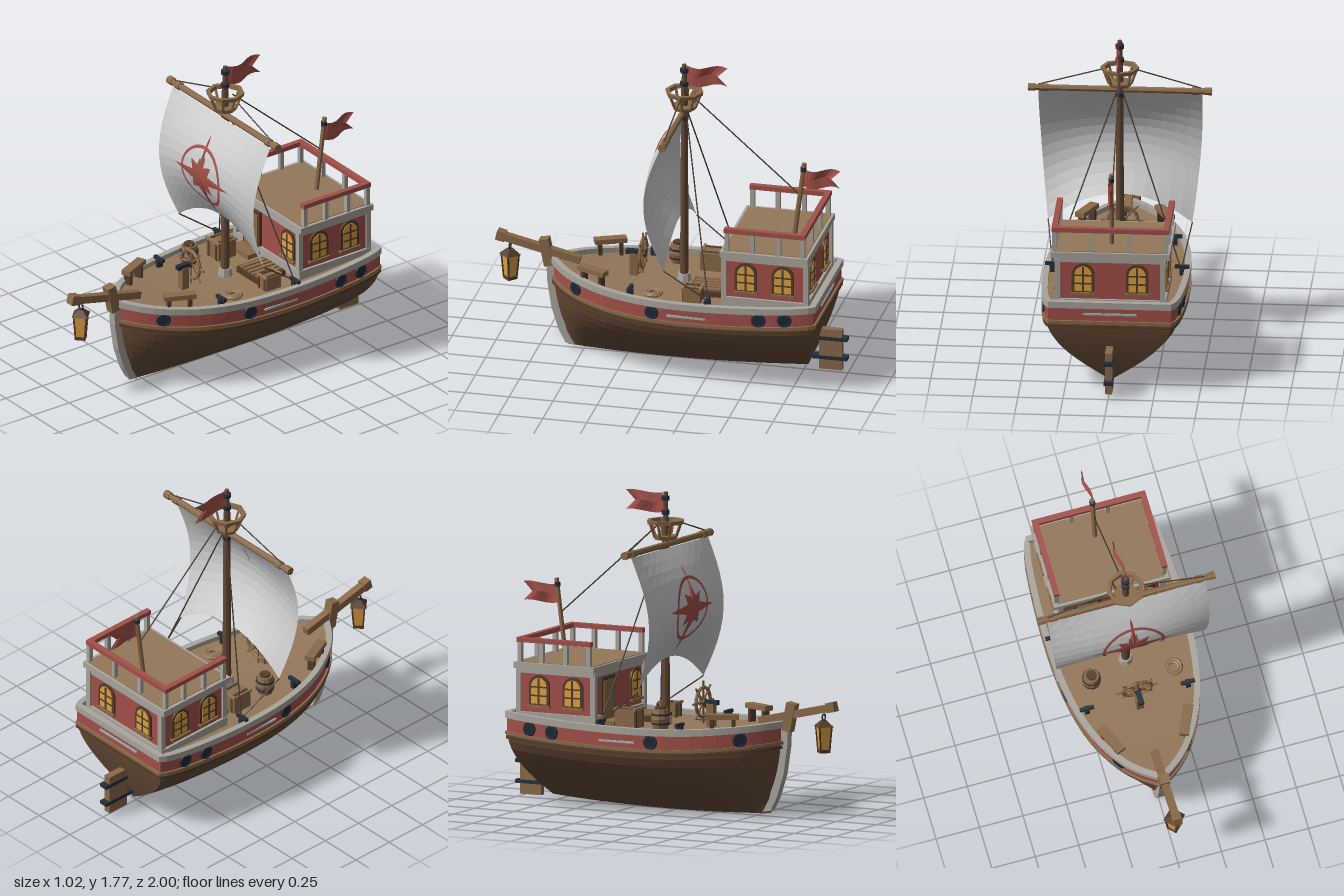
import * as THREE from 'three';

const RED = 0xa3504a, WOOD = 0x8a6a4a, DECK = 0x93775a, HULL = 0x654a35, DARKWOOD = 0x553d2a,
  GREY = 0xaaa69e, IRON = 0x262e3a, GLOW = 0xdfa243, SAIL = 0xcfcfcf, ROPE = 0x4a4038, PALE = 0x9db5b5;

const mat = (color, double) => new THREE.MeshStandardMaterial({
  color, flatShading: true, side: double ? THREE.DoubleSide : THREE.FrontSide });

function add(parent, name, geo, color, pos = [0, 0, 0], rot = [0, 0, 0], double = false) {
  const m = new THREE.Mesh(geo, mat(color, double));
  m.name = name;
  m.position.set(...pos);
  m.rotation.set(...rot);
  parent.add(m);
  return m;
}
const box = (p, name, color, size, pos, rot) => add(p, name, new THREE.BoxGeometry(...size), color, pos, rot);
const cyl = (p, name, color, r1, r2, h, n, pos, rot) => add(p, name, new THREE.CylinderGeometry(r1, r2, h, n), color, pos, rot);

// Round bar from a to b
function rod(p, name, color, a, b, r, n = 5) {
  const A = new THREE.Vector3(...a), d = new THREE.Vector3(...b).sub(A);
  const m = cyl(p, name, color, r, r, d.length(), n, A.clone().addScaledVector(d, 0.5).toArray());
  m.quaternion.setFromUnitVectors(new THREE.Vector3(0, 1, 0), d.normalize());
  return m;
}

// Skin over a row of equal-length cross-sections
function loft(rings) {
  const n = rings[0].length, idx = [];
  for (let i = 0; i < rings.length - 1; i++) for (let j = 0; j < n - 1; j++) {
    const a = i * n + j, b = a + n;
    idx.push(a, b, a + 1, a + 1, b, b + 1);
  }
  const g = new THREE.BufferGeometry();
  g.setAttribute('position', new THREE.Float32BufferAttribute(rings.flat(2), 3));
  g.setIndex(idx);
  g.computeVertexNormals();
  return g;
}

// Deck plan, stern to bow: x holds z, y holds half width
const plan = new THREE.SplineCurve([[-0.88, 0.34], [-0.75, 0.37], [-0.45, 0.39], [-0.15, 0.388], [0.1, 0.36],
  [0.32, 0.298], [0.5, 0.2], [0.6, 0.11], [0.67, 0.015]].map(p => new THREE.Vector2(...p))).getPoints(24);
const sheer = z => 0.455 + (z > 0 ? 0.1 : 0.045) * z * z;
const halfWidth = z => {
  const i = Math.max(1, plan.findIndex(p => p.x >= z)), a = plan[i - 1], b = plan[i];
  return a.y + (b.y - a.y) * (z - a.x) / (b.x - a.x);
};

// Strip with a rectangular section running round the hull
function band(p, name, color, out, inn, y0, y1) {
  const path = [...plan].reverse().map(q => [q.y, q.x]).concat(plan.map(q => [-q.y, q.x]));
  const rings = path.map(([x, z], i) => {
    const a = path[Math.max(0, i - 1)], b = path[Math.min(path.length - 1, i + 1)];
    const l = Math.hypot(b[0] - a[0], b[1] - a[1]), nx = -(b[1] - a[1]) / l, nz = (b[0] - a[0]) / l;
    const at = (o, y) => [x + nx * o, sheer(z) + y, z + nz * o];
    return [at(out, y0), at(out, y1), at(inn, y1), at(inn, y0), at(out, y0)];
  });
  add(p, name, loft(rings), color, undefined, undefined, true);
}

// Extruded outline drawn in (z, y), centred on x = 0
function sideShape(pts, depth) {
  const s = new THREE.Shape(pts.map(q => new THREE.Vector2(...q)));
  return new THREE.ExtrudeGeometry(s, { depth, bevelEnabled: false }).translate(0, 0, -depth / 2).rotateY(-Math.PI / 2);
}

function buildHull(g) {
  const rows = 8;
  const rings = plan.map(({ x: z, y: w }) => Array.from({ length: rows * 2 + 1 }, (_, j) => {
    const s = (rows - j) / rows, v = Math.abs(s), keel = 0.04 * z * z;
    return [Math.sign(s) * w * Math.sin(v * Math.PI / 2), keel + (sheer(z) - 0.08 - keel) * v,
      z * (1 - 0.12 * (1 - v) ** 1.5)];
  }));
  add(g, 'hull', loft(rings), HULL, undefined, undefined, true);
  const edge = rings[0];
  add(g, 'transom', loft(edge.slice(0, rows + 1).map((q, j) => [q, edge[rows * 2 - j]])), HULL, undefined, undefined, true);
  add(g, 'deck', loft(plan.map(q => [[-q.y, sheer(q.x) + 0.015, q.x], [q.y, sheer(q.x) + 0.015, q.x]])), DECK, undefined, undefined, true);
  band(g, 'redBand', RED, 0.002, -0.01, -0.08, 0.01);
  band(g, 'rail', GREY, 0.014, -0.02, 0.005, 0.042);
  band(g, 'upperWale', WOOD, 0.014, -0.01, -0.088, -0.07);
  band(g, 'lowerWale', DARKWOOD, 0.01, -0.02, -0.112, -0.095);

  add(g, 'stem', sideShape([[0.55, 0.025], [0.6, 0.035], [0.638, 0.11], [0.68, 0.24], [0.704, 0.4], [0.708, 0.5],
    [0.655, 0.5], [0.65, 0.4], [0.63, 0.25], [0.59, 0.1]], 0.05), GREY);
  box(g, 'stemHead', WOOD, [0.055, 0.16, 0.055], [0, 0.565, 0.71], [0.2, 0, 0]);
  box(g, 'rudder', WOOD, [0.04, 0.24, 0.13], [0, 0.14, -0.905]);
  for (const y of [0.09, 0.205]) box(g, 'rudderStrap', IRON, [0.05, 0.02, 0.2], [0, y, -0.9]);

  // Portholes, streaks and cleats on both sides
  for (const s of [1, -1]) {
    for (const z of [0.5, 0.03, -0.58, -0.725]) {
      const w = halfWidth(z), turn = Math.atan2(halfWidth(z - 0.02) - halfWidth(z + 0.02), 0.04);
      const port = new THREE.Group();
      port.name = 'porthole';
      port.position.set(s * (w + 0.002), sheer(z) - 0.033, z);
      port.rotation.y = s * (Math.PI / 2 - turn);
      add(port, 'portRing', new THREE.TorusGeometry(0.033, 0.009, 6, 14), IRON);
      cyl(port, 'portGlass', 0x1c2733, 0.032, 0.032, 0.012, 14, [0, 0, 0], [Math.PI / 2, 0, 0]);
      g.add(port);
    }
    box(g, 'sideStreak', PALE, [0.012, 0.012, 0.22], [s * 0.39, 0.418, -0.17], [0, 0, 0]);
    for (const [x, z] of [[0.36, -0.285], [0.29, 0.17]]) {
      box(g, 'cleatBar', IRON, [0.08, 0.018, 0.02], [s * x, sheer(z) + 0.062, z]);
      box(g, 'cleatFoot', IRON, [0.025, 0.05, 0.035], [s * x, sheer(z) + 0.035, z]);
    }
  }
  box(g, 'sternStreak', PALE, [0.3, 0.012, 0.012], [0, 0.46, -0.882]);
}

function archShape(w, h) {
  const s = new THREE.Shape(), r = w / 2;
  s.moveTo(-r, 0).lineTo(r, 0).lineTo(r, h - r).absarc(0, h - r, r, 0, Math.PI, false);
  return s.closePath();
}
function archWindow(p, pos, ry) {
  const w = new THREE.Group(), ex = (a, b, depth) => new THREE.ExtrudeGeometry(archShape(a, b), { depth, bevelEnabled: false, curveSegments: 8 });
  w.name = 'window';
  w.position.set(...pos);
  w.rotation.y = ry;
  add(w, 'windowFrame', ex(0.125, 0.175, 0.012), DARKWOOD);
  add(w, 'windowPane', ex(0.095, 0.145, 0.006), GLOW, [0, 0.014, 0.009]);
  box(w, 'windowBar', DARKWOOD, [0.01, 0.145, 0.012], [0, 0.085, 0.013]);
  for (const y of [0.06, 0.108]) box(w, 'windowBar', DARKWOOD, [0.095, 0.008, 0.012], [0, y, 0.013]);
  box(w, 'windowSill', WOOD, [0.135, 0.014, 0.026], [0, 0, 0.01]);
  p.add(w);
}

function buildCabin(g) {
  const zc = -0.597;
  box(g, 'cabinWalls', RED, [0.59, 0.31, 0.46], [0, 0.625, zc]);
  box(g, 'cabinBase', GREY, [0.62, 0.07, 0.49], [0, 0.495, zc]);
  box(g, 'roofEdge', GREY, [0.66, 0.035, 0.5], [0, 0.79, zc]);
  box(g, 'roofMoulding', GREY, [0.62, 0.03, 0.48], [0, 0.762, zc]);
  box(g, 'roofDeck', DECK, [0.62, 0.01, 0.47], [0, 0.806, zc]);
  for (const s of [1, -1]) {
    for (const z of [-0.365, -0.83]) box(g, 'cornerPost', GREY, [0.03, 0.3, 0.03], [s * 0.292, 0.62, z]);
    for (const z of [-0.385, -0.53, -0.68, -0.815]) box(g, 'railPost', GREY, [0.024, 0.12, 0.024], [s * 0.31, 0.865, z]);
    box(g, 'railPost', GREY, [0.024, 0.12, 0.024], [s * 0.105, 0.865, -0.815]);
    box(g, 'sideHandrail', RED, [0.032, 0.026, 0.46], [s * 0.31, 0.933, -0.6]);
    for (const z of [-0.49, -0.7]) archWindow(g, [s * 0.295, 0.565, z], s * Math.PI / 2);
    archWindow(g, [s * 0.15, 0.565, -0.827], Math.PI);
  }
  box(g, 'backHandrail', RED, [0.65, 0.026, 0.032], [0, 0.933, -0.815]);
  archWindow(g, [0.195, 0.565, -0.367], 0);
  box(g, 'doorFrame', DARKWOOD, [0.155, 0.26, 0.02], [-0.14, 0.61, -0.362]);
  box(g, 'door', WOOD, [0.12, 0.235, 0.03], [-0.14, 0.6, -0.362]);
  box(g, 'doorStep', WOOD, [0.17, 0.03, 0.09], [-0.145, 0.485, -0.315]);
}

// Sail surface: top edge straight, foot arched, belly forward
const sailFoot = u => 0.69 + 0.16 * (1 - u * u);
const sailZ = (u, v) => -0.045 + Math.sin(Math.PI * v) * (0.105 + 0.04 * (1 - u * u));

function flag(p, pos, len, h) {
  const geo = new THREE.PlaneGeometry(len, h, 8, 2).translate(len / 2, 0, 0), a = geo.attributes.position;
  for (let i = 0; i < a.count; i++) {
    const t = a.getX(i) / len, mid = Math.abs(a.getY(i)) < 0.001;
    a.setXYZ(i, a.getX(i) * (mid ? 0.75 : 1), a.getY(i) - 0.008 * Math.sin(t * 6), 0.015 * Math.sin(t * 6));
  }
  add(p, 'flag', geo.rotateY(Math.PI / 2), RED, pos, [0, 0, 0], true);
}

function buildRig(g) {
  const mz = -0.07;
  cyl(g, 'mast', HULL, 0.019, 0.025, 1.16, 10, [0, 1.04, mz]);
  cyl(g, 'topmast', HULL, 0.013, 0.017, 0.16, 8, [0, 1.69, mz]);
  cyl(g, 'mastCollar', GREY, 0.034, 0.042, 0.05, 8, [0, 0.49, mz]);
  for (const y of [1.45, 1.655, 1.735]) cyl(g, 'mastBand', IRON, 0.024, 0.024, 0.024, 8, [0, y, mz]);

  // Crow's nest
  cyl(g, 'nestFloor', WOOD, 0.07, 0.062, 0.022, 8, [0, 1.515, mz]);
  add(g, 'nestRim', new THREE.LatheGeometry([[0.082, 1.592], [0.104, 1.592], [0.108, 1.614], [0.086, 1.614], [0.082, 1.592]]
    .map(q => new THREE.Vector2(...q)), 8), WOOD, [0, 0, mz], [0, 0, 0], true);
  for (let i = 0; i < 8; i++) {
    const c = Math.cos(i * Math.PI / 4), s = Math.sin(i * Math.PI / 4);
    rod(g, 'nestPost', WOOD, [c * 0.062, 1.515, mz + s * 0.062], [c * 0.093, 1.6, mz + s * 0.093], 0.008, 4);
  }

  rod(g, 'yard', WOOD, [-0.5, 1.477, -0.06], [0.5, 1.477, -0.06], 0.018, 8);
  for (const x of [-0.49, -0.42, 0.42, 0.49]) rod(g, 'yardBand', WOOD, [x - 0.02, 1.477, -0.06], [x + 0.02, 1.477, -0.06], 0.023, 8);

  const rings = [];
  for (let i = 0; i <= 12; i++) rings.push(Array.from({ length: 13 }, (_, j) => {
    const u = j / 6 - 1, v = i / 12;
    return [u * (0.455 - 0.055 * v * v), 1.46 + (sailFoot(u) - 1.46) * v, sailZ(u, v)];
  }));
  add(g, 'sail', loft(rings), SAIL, undefined, undefined, true);

  // Compass star and ring laid on the sail
  const drape = (geo, radius) => {
    const a = geo.attributes.position;
    for (let i = 0; i < a.count; i++) {
      const k = Math.round(Math.atan2(a.getY(i), a.getX(i)) / (Math.PI / 8)) + 16, f = radius[k % radius.length];
      const x = a.getX(i) * f, y = a.getY(i) * f, u = x / 0.445;
      a.setXYZ(i, x, y + 1.13, sailZ(u, (0.33 - y) / (1.46 - sailFoot(u))) + 0.007);
    }
    return geo;
  };
  add(g, 'sailStar', drape(new THREE.RingGeometry(0.001, 1, 16, 7), [0.245, 0.075, 0.125, 0.075]), RED);
  add(g, 'sailRing', drape(new THREE.RingGeometry(0.163, 0.18, 40, 1), [1]), RED);

  // Flags
  flag(g, [0, 1.71, -0.085], 0.23, 0.11);
  rod(g, 'flagPole', WOOD, [0, 0.8, -0.695], [0, 1.24, -0.752], 0.014, 6);
  cyl(g, 'poleBand', IRON, 0.018, 0.018, 0.025, 6, [0, 1.205, -0.747]);
  flag(g, [0, 1.155, -0.745], 0.21, 0.105);

  // Ropes
  rod(g, 'backstay', ROPE, [0, 1.58, -0.12], [0, 1.05, -0.725], 0.004);
  for (const s of [1, -1]) {
    rod(g, 'yardLift', ROPE, [s * 0.45, 1.495, -0.06], [s * 0.09, 1.6, mz], 0.004);
    rod(g, 'sheetRope', ROPE, [s * 0.4, 0.69, -0.045], [s * 0.36, 0.52, -0.285], 0.004);
    rod(g, 'shroud', ROPE, [s * 0.015, 1.48, -0.085], [s * 0.35, 0.52, -0.285], 0.004);
  }
}

function buildBow(g) {
  box(g, 'bowsprit', WOOD, [0.042, 0.042, 0.48], [0, 0.586, 0.755], [-0.225, 0, 0]);
  box(g, 'bowspritCap', WOOD, [0.052, 0.055, 0.05], [0, 0.637, 0.97], [-0.225, 0, 0]);
  const lamp = new THREE.Group();
  lamp.name = 'lantern';
  lamp.position.set(0, 0, 0.92);
  add(lamp, 'lanternRing', new THREE.TorusGeometry(0.018, 0.005, 5, 10), IRON, [0, 0.578, 0]);
  cyl(lamp, 'lanternRoof', DARKWOOD, 0.02, 0.063, 0.035, 4, [0, 0.543, 0]);
  cyl(lamp, 'lanternGlass', GLOW, 0.048, 0.034, 0.13, 4, [0, 0.46, 0]);
  cyl(lamp, 'lanternFoot', DARKWOOD, 0.042, 0.042, 0.018, 4, [0, 0.389, 0]);
  for (const [x, z] of [[1, 0], [-1, 0], [0, 1], [0, -1]])
    rod(lamp, 'lanternPost', DARKWOOD, [x * 0.036, 0.39, z * 0.036], [x * 0.05, 0.53, z * 0.05], 0.006, 4);
  g.add(lamp);
}

function crate(p, x, z, w, h, d) {
  const y = sheer(z) + 0.015;
  box(p, 'crate', WOOD, [w, h, d], [x, y + h / 2, z]);
  for (const k of [-1, 1]) {
    box(p, 'crateStrap', DARKWOOD, [0.014, h + 0.008, d + 0.008], [x + k * w * 0.32, y + h / 2, z]);
    box(p, 'crateEdge', DECK, [w + 0.01, 0.014, 0.014], [x, y + h, z + k * d / 2]);
  }
}

function buildDeckItems(g) {
  // Steering wheel and its stand
  const wheel = new THREE.Group();
  wheel.name = 'wheel';
  wheel.position.set(0, 0.61, 0.165);
  add(wheel, 'wheelRim', new THREE.TorusGeometry(0.083, 0.01, 6, 20), WOOD);
  cyl(wheel, 'wheelHub', DARKWOOD, 0.022, 0.022, 0.035, 8, [0, 0, 0], [Math.PI / 2, 0, 0]);
  for (let i = 0; i < 4; i++) cyl(wheel, 'wheelSpoke', WOOD, 0.007, 0.007, 0.24, 5, [0, 0, 0], [0, 0, i * Math.PI / 4]);
  g.add(wheel);
  box(g, 'wheelStand', WOOD, [0.04, 0.13, 0.045], [0, 0.54, 0.215]);
  box(g, 'standCap', IRON, [0.03, 0.025, 0.08], [0, 0.612, 0.22]);

  // Benches along the bow rails
  for (const s of [1, -1]) {
    const bench = new THREE.Group();
    bench.name = 'bench';
    bench.position.set(s * 0.215, 0, 0.4);
    bench.rotation.y = -s * 0.42;
    box(bench, 'benchSeat', WOOD, [0.055, 0.028, 0.18], [0, 0.572, 0]);
    for (const z of [-0.06, 0.06]) box(bench, 'benchLeg', DARKWOOD, [0.04, 0.09, 0.02], [0, 0.52, z]);
    g.add(bench);
  }

  // Barrel
  add(g, 'barrel', new THREE.LatheGeometry([[0, 0], [0.042, 0], [0.054, 0.055], [0.042, 0.11], [0, 0.11]]
    .map(q => new THREE.Vector2(...q)), 10), WOOD, [-0.22, 0.48, 0.015]);
  for (const y of [0.51, 0.56]) cyl(g, 'barrelHoop', IRON, 0.052, 0.052, 0.01, 10, [-0.22, y, 0.015]);
  cyl(g, 'barrelLid', DARKWOOD, 0.03, 0.03, 0.015, 10, [-0.22, 0.595, 0.015]);

  crate(g, -0.2, -0.19, 0.115, 0.105, 0.12);
  crate(g, 0.265, -0.18, 0.08, 0.08, 0.1);

  // Grated hatch and rope coil
  box(g, 'hatchFrame', DARKWOOD, [0.2, 0.04, 0.19], [0.11, 0.485, -0.235]);
  for (let i = 0; i < 5; i++) box(g, 'hatchSlat', WOOD, [0.024, 0.012, 0.17], [0.04 + i * 0.035, 0.508, -0.235]);
  for (const r of [0.045, 0.03]) add(g, 'ropeCoil', new THREE.TorusGeometry(r, 0.01, 5, 14), DECK, [0.24, 0.482, 0.05], [Math.PI / 2, 0, 0]);
}

export function createModel() {
  const ship = new THREE.Group();
  ship.name = 'sailingShip';
  const parts = { hullGroup: buildHull, cabin: buildCabin, rigging: buildRig, bow: buildBow, deckItems: buildDeckItems };
  for (const [name, build] of Object.entries(parts)) {
    const g = new THREE.Group();
    g.name = name;
    build(g);
    ship.add(g);
  }
  return ship;
}
